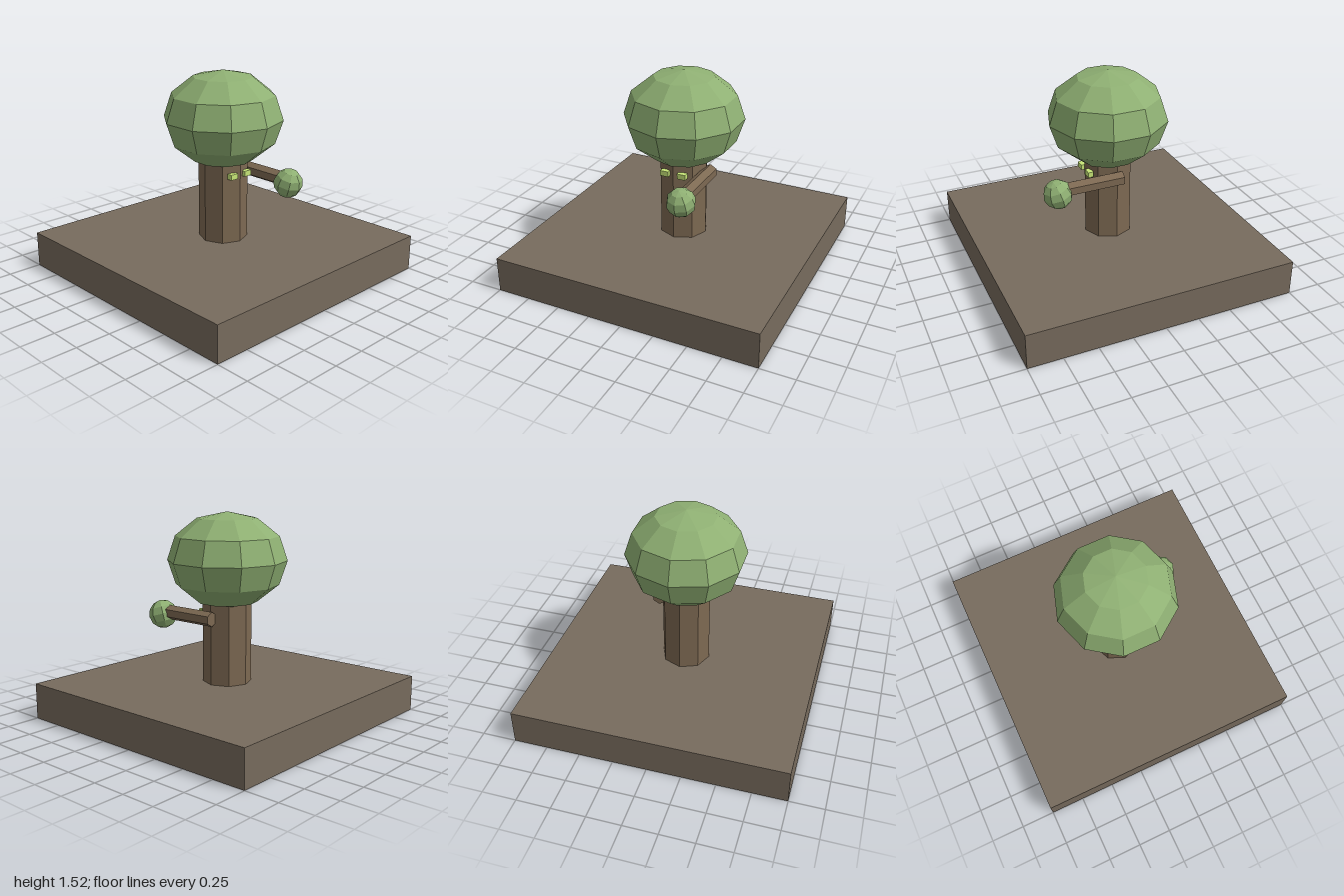
import * as THREE from 'three';

const material = (color) => new THREE.MeshStandardMaterial({ color, flatShading: true });

export function createModel() {
  const model = new THREE.Group();
  const soil = material(0x776b5d);
  const bark = material(0x7d6952);
  const leaves = material(0x8fb073);
  const glow = material(0xc8e678);

  const add = (name, geometry, mat, x, y, z) => {
    const mesh = new THREE.Mesh(geometry, mat);
    mesh.name = name;
    mesh.position.set(x, y, z);
    model.add(mesh);
    return mesh;
  };

  // Square slab of ground
  add('ground', new THREE.BoxGeometry(2, 0.265, 2), soil, 0, 0.1325, 0);

  // Eight-sided trunk, running up into the crown
  add('trunk', new THREE.CylinderGeometry(0.18, 0.18, 0.67, 8), bark, 0, 0.585, 0);

  // Squashed crown with a corner facing the front
  const crown = add('crown', new THREE.SphereGeometry(0.44, 10, 6), leaves, 0, 1.17, 0);
  crown.scale.y = 0.8;
  crown.rotation.y = Math.PI / 2;

  // Six-sided branch reaching forward, with a tuft of leaves at its tip
  const branch = add('branch', new THREE.CylinderGeometry(0.054, 0.054, 0.46, 6), bark, 0.2, 0.762, 0.2);
  branch.rotation.x = Math.PI / 2;
  const tuft = add('branchTuft', new THREE.SphereGeometry(0.107, 8, 6), leaves, 0.2, 0.74, 0.465);
  tuft.rotation.x = 0.3;

  // Pair of small glowing eyes
  for (const [name, side] of [['leftEye', 1], ['rightEye', -1]]) {
    add(name, new THREE.BoxGeometry(0.065, 0.04, 0.04), glow, side * 0.067, 0.78, 0.172);
  }

  return model;
}
